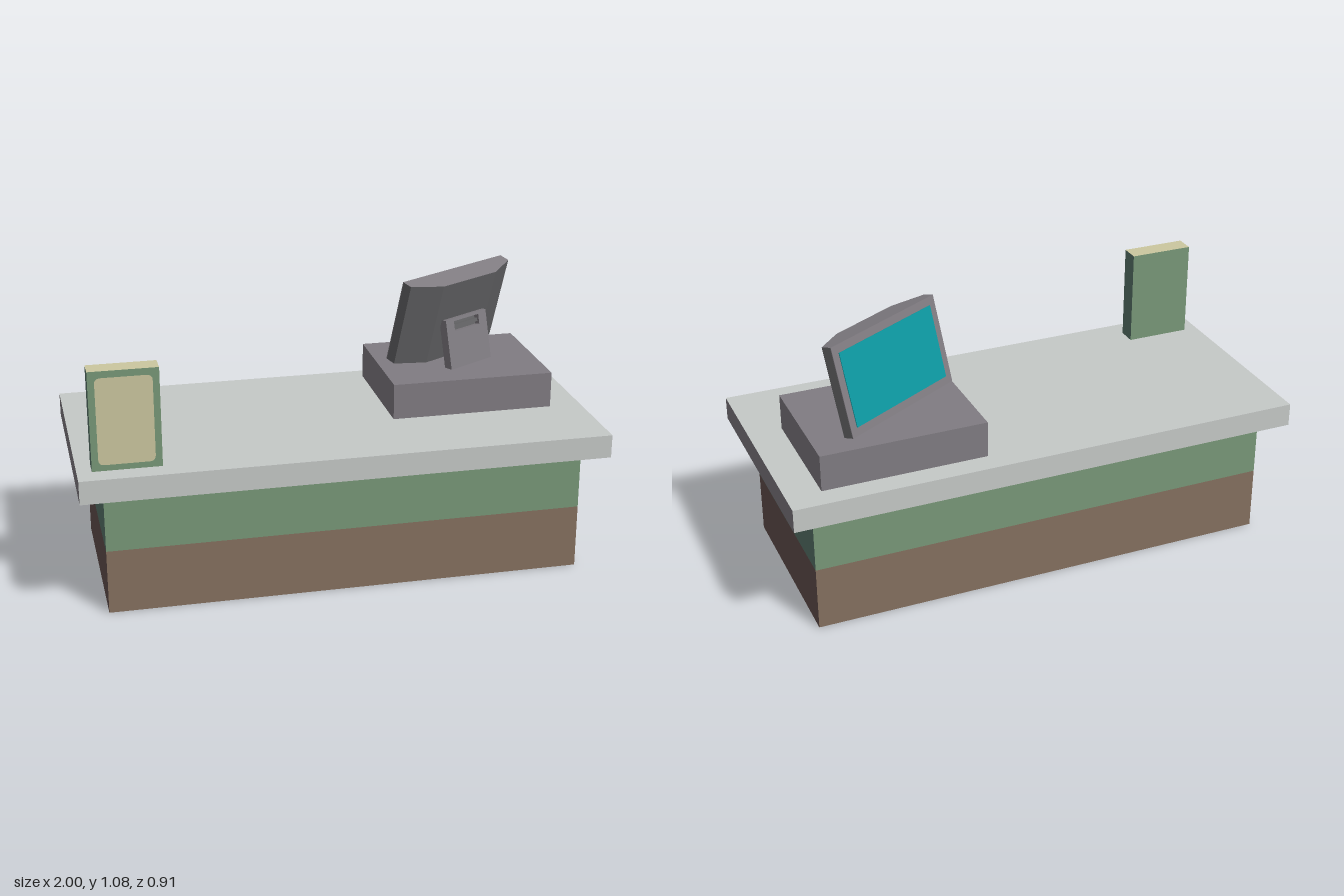
import * as THREE from 'three';

const mat = (name, color, side = THREE.FrontSide) => {
  const m = new THREE.MeshStandardMaterial({ color, side });
  m.name = name;
  return m;
};

export function createModel() {
  const lightGrey = mat('lightGrey', 0xc5c9c7);
  const grey = mat('grey', 0x807c82);
  const darkGrey = mat('darkGrey', 0x656567);
  const green = mat('green', 0x789878, THREE.DoubleSide);
  const teal = mat('tealGreen', 0x5a776c, THREE.DoubleSide);
  const brown = mat('brown', 0x85705f, THREE.DoubleSide);
  const darkBrown = mat('darkBrown', 0x65514e, THREE.DoubleSide);
  const cream = mat('cream', 0xcbc79f);
  const cyan = mat('cyan', 0x0d9aa2);

  const model = new THREE.Group();
  model.name = 'serviceCounter';

  const add = (parent, name, geometry, material, x = 0, y = 0, z = 0) => {
    const mesh = new THREE.Mesh(geometry, material);
    mesh.name = name;
    mesh.position.set(x, y, z);
    parent.add(mesh);
    return mesh;
  };
  // Box given by its lower and upper corners
  const box = (parent, name, a, b, material) => add(parent, name,
    new THREE.BoxGeometry(b[0] - a[0], b[1] - a[1], b[2] - a[2]), material,
    (a[0] + b[0]) / 2, (a[1] + b[1]) / 2, (a[2] + b[2]) / 2);

  // Hollow cabinet: four open walls, each in two colour bands
  const W = 0.91, D = 0.375;
  const bands = [
    ['lower', 0, 0.25, brown, darkBrown],
    ['upper', 0.25, 0.48, green, teal],
  ];
  for (const [label, y0, y1, longMat, endMat] of bands) {
    const h = y1 - y0, y = (y0 + y1) / 2;
    for (const s of [1, -1]) {
      const long = add(model, label + 'LongWall', new THREE.PlaneGeometry(2 * W, h), longMat, 0, y, s * D);
      if (s < 0) long.rotation.y = Math.PI;
      add(model, label + 'EndWall', new THREE.PlaneGeometry(2 * D, h), endMat, s * W, y, 0)
        .rotation.y = s * Math.PI / 2;
    }
  }

  // Counter top with grey ends and dark underside
  box(model, 'counterTop', [-1, 0.48, -0.455], [1, 0.57, 0.455],
    [grey, grey, lightGrey, darkGrey, lightGrey, lightGrey]);

  // Upright display box with a rounded front panel
  box(model, 'displayBox', [-0.945, 0.57, 0.3], [-0.69, 0.948, 0.375],
    [teal, teal, cream, teal, green, green]);
  const hw = 0.103, hh = 0.165, r = 0.022;
  const panel = new THREE.Shape();
  panel.moveTo(-hw + r, -hh);
  panel.lineTo(hw - r, -hh);
  panel.quadraticCurveTo(hw, -hh, hw, -hh + r);
  panel.lineTo(hw, hh - r);
  panel.quadraticCurveTo(hw, hh, hw - r, hh);
  panel.lineTo(-hw + r, hh);
  panel.quadraticCurveTo(-hw, hh, -hw, hh - r);
  panel.lineTo(-hw, -hh + r);
  panel.quadraticCurveTo(-hw, -hh, -hw + r, -hh);
  add(model, 'displayPanel', new THREE.ShapeGeometry(panel, 4), cream, -0.8175, 0.758, 0.377);

  // Plinth under the monitor
  box(model, 'monitorPlinth', [0.235, 0.575, -0.375], [0.87, 0.715, 0.125], grey);

  // Monitor, turned so its screen faces the back
  const monitor = new THREE.Group();
  monitor.name = 'monitor';
  monitor.rotation.y = Math.PI / 6;
  model.add(monitor);

  // Tilted housing: a six-sided outline extruded along its height
  const head = new THREE.Group();
  head.name = 'monitorHead';
  head.position.set(0.543, 0.915, 0.1025);
  head.rotation.x = 0.252;
  monitor.add(head);
  const outline = new THREE.Shape([
    [-0.278, 0], [-0.278, -0.041], [-0.148, -0.093],
    [0.148, -0.093], [0.278, -0.041], [0.278, 0],
  ].map(([x, y]) => new THREE.Vector2(x, y)));
  const housing = new THREE.ExtrudeGeometry(outline, { depth: 0.341, bevelEnabled: false });
  housing.rotateX(-Math.PI / 2).translate(0, -0.1705, 0);
  add(head, 'monitorHousing', housing, [grey, darkGrey]);
  box(head, 'bezel', [-0.278, -0.1705, -0.003], [0.278, 0.1705, 0], grey);
  box(head, 'screen', [-0.248, -0.14, -0.006], [0.248, 0.14, -0.003], cyan);

  // Leaning stand with a slot and hinge
  const stand = new THREE.Group();
  stand.name = 'monitorStand';
  stand.position.set(0.543, 0.715, 0.22);
  stand.rotation.x = -0.197;
  monitor.add(stand);
  const rect = (C, x, y0, y1) => new C([[-x, y0], [x, y0], [x, y1], [-x, y1]]
    .map(p => new THREE.Vector2(...p)));
  const plate = rect(THREE.Shape, 0.114, -0.01, 0.189);
  plate.holes.push(rect(THREE.Path, 0.07, 0.138, 0.178));
  add(stand, 'standPlate', new THREE.ExtrudeGeometry(plate, { depth: 0.035, bevelEnabled: false }), grey);
  box(stand, 'hinge', [-0.075, 0.13, -0.04], [0.075, 0.183, 0.012], darkGrey);
  box(stand, 'hingeBar', [-0.066, 0.15, 0.01], [0.066, 0.163, 0.03], darkGrey);

  return model;
}
